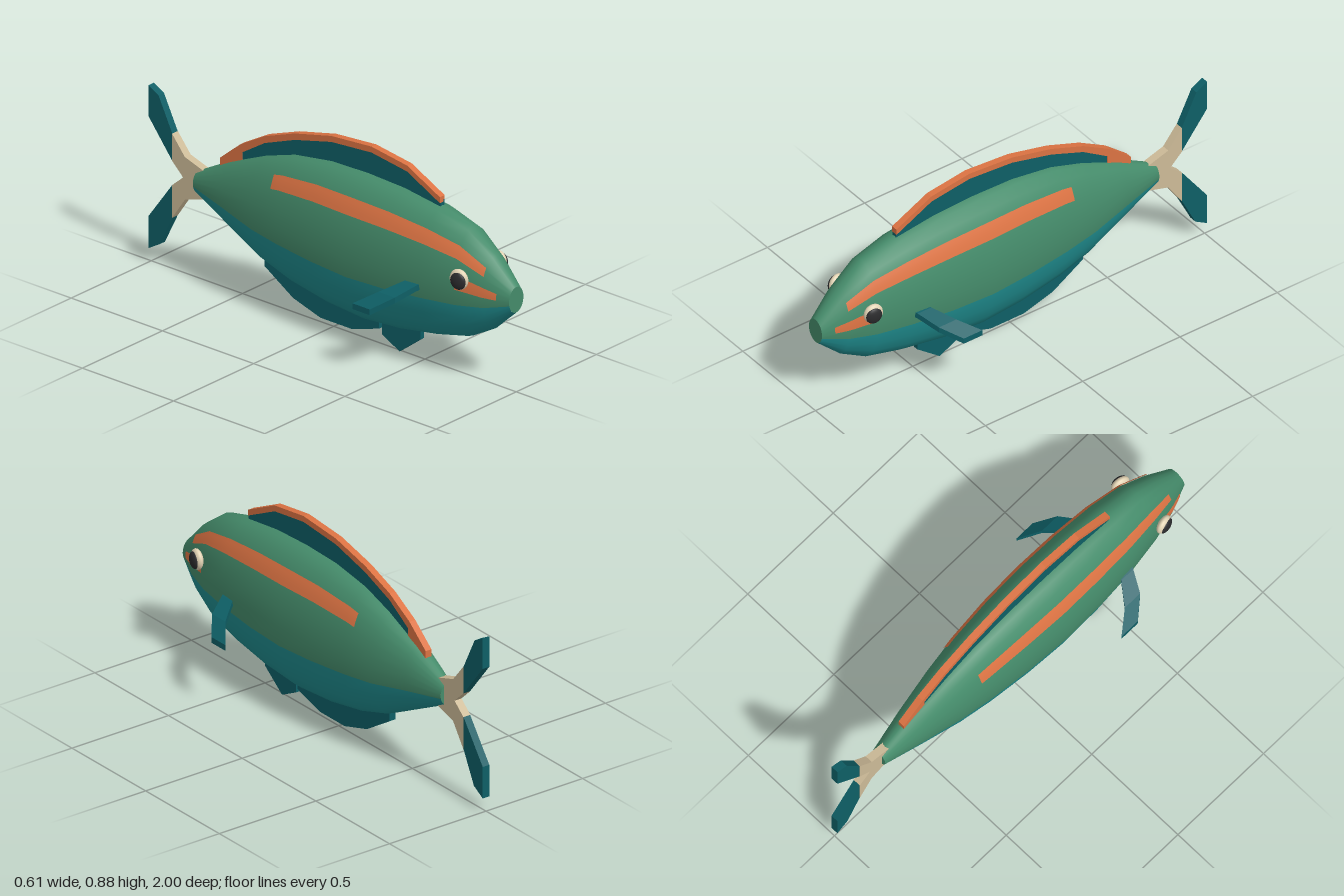
import * as THREE from 'three';

const mat = (name, color, extra = {}) => {
  const m = new THREE.MeshStandardMaterial({ color, ...extra });
  m.name = name;
  return m;
};

// Body stations, nose to tail: z, half width, top y, bottom y
const STATIONS = [
  [1, 0.045, 0.475, 0.36], [0.89, 0.088, 0.588, 0.257], [0.765, 0.122, 0.68, 0.187],
  [0.6, 0.147, 0.725, 0.148], [0.4, 0.16, 0.752, 0.115], [0.2, 0.163, 0.76, 0.1],
  [0, 0.153, 0.755, 0.115], [-0.2, 0.134, 0.725, 0.15], [-0.36, 0.112, 0.673, 0.2],
  [-0.55, 0.077, 0.59, 0.295], [-0.74, 0.037, 0.487, 0.39],
];

// Station interpolated at any z
function stationAt(z) {
  let i = 0;
  while (i < STATIONS.length - 2 && STATIONS[i + 1][0] > z) i++;
  const a = STATIONS[i], b = STATIONS[i + 1];
  const t = (z - a[0]) / (b[0] - a[0]);
  return a.map((v, k) => THREE.MathUtils.lerp(v, b[k], t));
}

// Elliptical skin through stations over a list of angles in degrees
function skin(stations, angles, closed, offset = 0) {
  const pos = [], index = [], n = angles.length;
  for (const [z, w, top, bottom] of stations) {
    for (const deg of angles) {
      const a = THREE.MathUtils.degToRad(deg);
      pos.push((w + offset) * Math.cos(a),
        (top + bottom) / 2 + ((top - bottom) / 2 + offset) * Math.sin(a), z);
    }
  }
  for (let j = 0; j < (closed ? n : n - 1); j++) {
    for (let i = 0; i < stations.length - 1; i++) {
      const k = (j + 1) % n;
      const a = i * n + j, b = a + n, c = (i + 1) * n + k, d = i * n + k;
      index.push(a, b, c, a, c, d);
    }
  }
  const g = new THREE.BufferGeometry();
  g.setAttribute('position', new THREE.Float32BufferAttribute(pos, 3));
  g.setIndex(index);
  g.computeVertexNormals();
  return g;
}

// Flat plate drawn in (z, y), centred on x = 0
function plate(points, thickness) {
  const shape = new THREE.Shape(points.map(([z, y]) => new THREE.Vector2(z, y)));
  const g = new THREE.ExtrudeGeometry(shape, { depth: thickness, bevelEnabled: false });
  g.translate(0, 0, -thickness / 2);
  g.rotateY(-Math.PI / 2);
  return g;
}

// Swept side fin: a box bent through sections of x, y, front z, back z
function pectoralFin(side) {
  const sections = [[0.12, 0.41, 0.61, 0.54], [0.155, 0.4, 0.59, 0.52],
    [0.24, 0.36, 0.545, 0.455], [0.305, 0.305, 0.465, 0.37]];
  const box = new THREE.BoxGeometry(1, 0.026, 1, 3, 1, 1);
  const p = box.attributes.position;
  for (let i = 0; i < p.count; i++) {
    const s = sections[Math.round((side * p.getX(i) + 0.5) * 3)];
    p.setXYZ(i, side * s[0], s[1] + p.getY(i), p.getZ(i) > 0 ? s[2] : s[3]);
  }
  const g = box.toNonIndexed();
  g.computeVertexNormals();
  return g;
}

export function createModel() {
  const green = mat('back green', 0x458c6b);
  const belly = mat('belly teal', 0x1f8c8e);
  const finTeal = mat('fin teal', 0x0e5f66);
  const orange = mat('stripe orange', 0xdc7343);
  const cream = mat('tail cream', 0xcdbb98);
  const eyeWhite = mat('eye ivory', 0xe2d3b4);
  const black = mat('pupil black', 0x2b2b2d);

  const fish = new THREE.Group();
  fish.name = 'fish';
  const add = (name, geometry, material, parent = fish) => {
    const m = new THREE.Mesh(geometry, material);
    m.name = name;
    parent.add(m);
    return m;
  };

  // Body: green back, teal belly
  const split = -16.5, upper = 14, lower = 10, angles = [];
  const span = 180 - 2 * split;
  for (let j = 0; j < upper; j++) angles.push(split + (span * j) / upper);
  for (let j = 0; j < lower; j++) angles.push(180 - split + ((360 - span) * j) / lower);
  const bodyGeo = skin(STATIONS, angles, true);
  const perStrip = (STATIONS.length - 1) * 6;
  bodyGeo.addGroup(0, upper * perStrip, 0);
  bodyGeo.addGroup(upper * perStrip, lower * perStrip, 1);
  add('body', bodyGeo, [green, belly]);

  // Nose and tail-root caps
  for (const [name, s, turn] of [['nose', STATIONS[0], 0], ['tailRoot', STATIONS.at(-1), Math.PI]]) {
    const cap = add(name, new THREE.CircleGeometry(1, 24), green);
    cap.scale.set(s[1], (s[2] - s[3]) / 2, 1);
    cap.position.set(0, (s[2] + s[3]) / 2, s[0]);
    cap.rotation.y = turn;
  }

  // Side stripes following the body skin
  const stripe = (name, zFront, zBack, low, high, side) => {
    const inner = STATIONS.filter(([z]) => z < zFront && z > zBack);
    const rows = [stationAt(zFront), ...inner, stationAt(zBack)];
    const arc = [];
    for (let j = 0; j <= 4; j++) {
      const a = low + ((high - low) * j) / 4;
      if (side > 0) arc.push(a);
      else arc.unshift(180 - a);
    }
    add(name, skin(rows, arc, false, 0.005), orange);
  };

  for (const side of [1, -1]) {
    const tag = side > 0 ? 'left' : 'right';
    stripe(`${tag}SideStripe`, 0.89, -0.25, 32.5, 48, side);
    stripe(`${tag}CheekStripe`, 0.95, 0.77, 1, 16, side);

    // Eye
    const eye = new THREE.Group();
    eye.name = `${tag}Eye`;
    eye.position.set(side * 0.126, 0.492, 0.797);
    eye.rotation.y = -side * 0.2;
    fish.add(eye);
    add('eyeball', new THREE.SphereGeometry(1, 20, 14), eyeWhite, eye).scale.set(0.022, 0.046, 0.043);
    const pupil = add('pupil', new THREE.SphereGeometry(1, 20, 14), black, eye);
    pupil.scale.set(0.016, 0.038, 0.036);
    pupil.position.set(side * 0.012, -0.003, 0.002);

    add(`${tag}PectoralFin`, pectoralFin(side), finTeal);
  }

  // Dorsal fin with orange rim
  const rimTop = [[0.595, 0.765], [0.415, 0.855], [0.22, 0.883], [0, 0.866],
    [-0.2, 0.818], [-0.365, 0.757], [-0.5, 0.68], [-0.61, 0.588]];
  const rimDrop = [0.027, 0.027, 0.027, 0.027, 0.029, 0.031, 0.04, 0.028];
  const rimLow = rimTop.map(([z, y], i) => [z, y - rimDrop[i]]);
  add('dorsalRim', plate([...rimTop, ...rimLow.slice().reverse()], 0.03), orange);
  add('dorsalFin', plate([...rimLow.slice(0, 7).map(([z, y]) => [z, y + 0.01]),
    [-0.5, 0.58], [-0.2, 0.69], [0.2, 0.73], [0.595, 0.715]], 0.024), finTeal);
  add('dorsalRimEnd', plate([[-0.49, 0.655], [-0.61, 0.57], [-0.61, 0.555], [-0.49, 0.6]], 0.03), orange);

  // Tail: cream fork with teal lobes
  add('tailFork', plate([[-0.69, 0.5], [-0.8, 0.535], [-0.87, 0.62], [-0.87, 0.497], [-0.81, 0.44],
    [-0.87, 0.388], [-0.87, 0.24], [-0.8, 0.343], [-0.69, 0.375]], 0.036), cream);
  add('upperTailLobe', plate([[-0.87, 0.62], [-0.945, 0.77], [-1, 0.8], [-1, 0.66], [-0.87, 0.497]], 0.034), finTeal);
  add('lowerTailLobe', plate([[-0.87, 0.388], [-1, 0.21], [-1, 0.065], [-0.94, 0.1], [-0.87, 0.24]], 0.034), finTeal);

  // Underside fins
  add('pelvicFin', plate([[0.485, 0.15], [0.485, 0.09], [0.37, 0.002], [0.275, 0.05], [0.275, 0.13]], 0.022), finTeal);
  add('analFin', plate([[0.26, 0.12], [0.26, 0.073], [0.11, 0.028], [-0.06, 0.028], [-0.21, 0.073],
    [-0.365, 0.17], [-0.365, 0.225], [-0.1, 0.15]], 0.03), finTeal);

  return fish;
}
